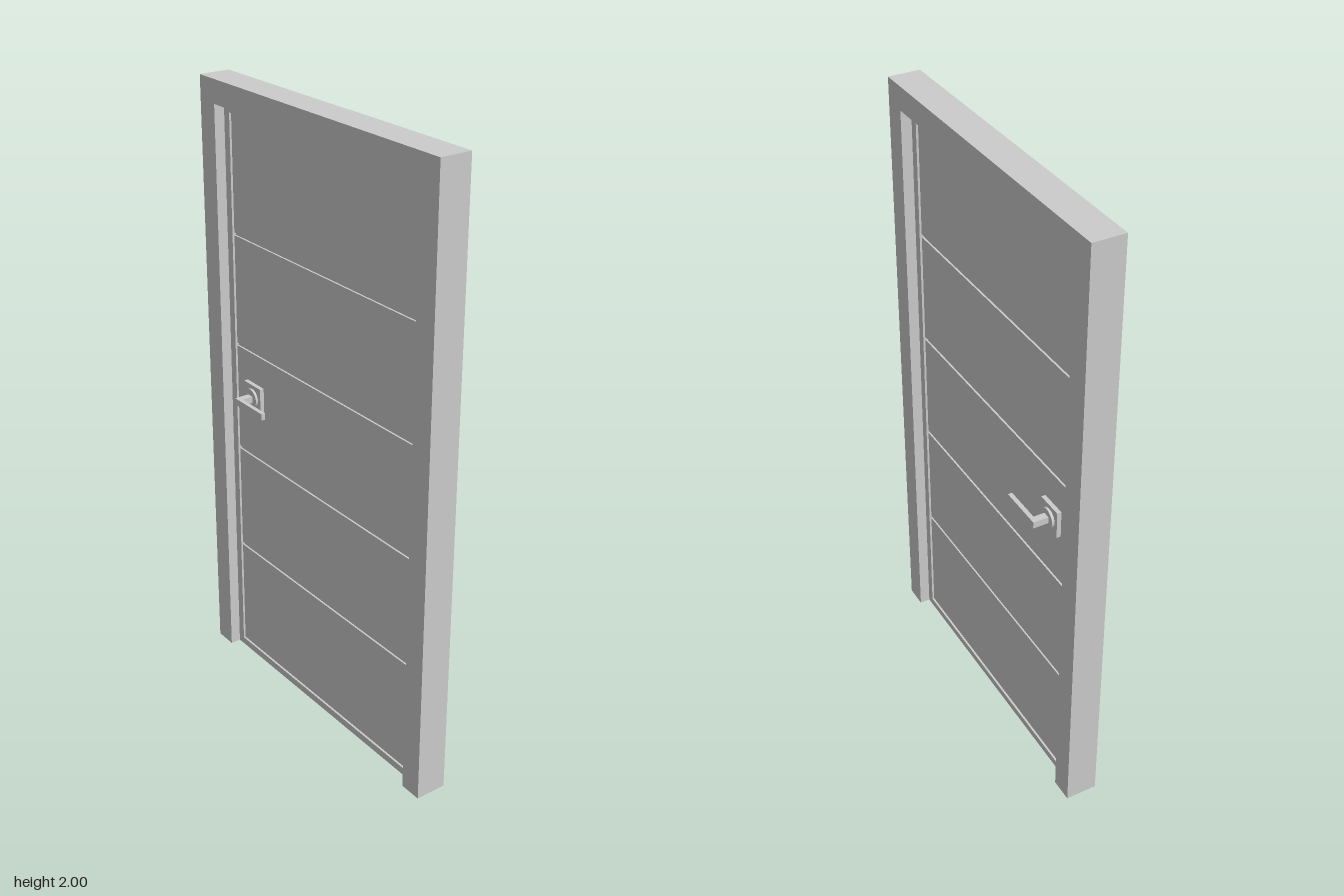
import * as THREE from 'three';

const mat = new THREE.MeshStandardMaterial({ color: 0xcccccc, flatShading: true });
const smooth = new THREE.MeshStandardMaterial({ color: 0xcccccc });

function add(parent, name, geometry, x = 0, y = 0, z = 0, material = mat) {
  const mesh = new THREE.Mesh(geometry, material);
  mesh.name = name;
  mesh.position.set(x, y, z);
  parent.add(mesh);
  return mesh;
}

// Closed polygon from corner points
const polygon = (pts) => new THREE.Shape(pts.map(([x, y]) => new THREE.Vector2(x, y)));

// Plate of a given depth, centred on its own thickness
function plate(shape, depth) {
  const g = new THREE.ExtrudeGeometry(shape, { depth, bevelEnabled: false });
  return g.translate(0, 0, -depth / 2);
}

// Square backplate, round rose and L-shaped lever, facing +z
function handle(leafZ) {
  const g = new THREE.Group();
  add(g, 'backplate', new THREE.BoxGeometry(0.09, 0.09, 0.014), 0, 0, leafZ + 0.007);
  const rose = new THREE.CylinderGeometry(0.032, 0.032, 0.01, 32).rotateX(Math.PI / 2);
  add(g, 'rose', rose, 0, 0, leafZ + 0.017, smooth);
  const z0 = leafZ + 0.012, z1 = 0.068, z2 = 0.082;
  const lever = polygon([[-0.011, -z0], [-0.011, -z2], [0.137, -z2],
    [0.137, -z1], [0.012, -z1], [0.012, -z0]]);
  const geo = plate(lever, 0.022).rotateX(-Math.PI / 2).rotateX(Math.PI);
  // Turn the extruded profile so that it lies flat and points outward
  geo.scale(1, 1, 1);
  geo.computeBoundingBox();
  if (geo.boundingBox.max.z < 0) geo.rotateX(Math.PI);
  add(g, 'lever', geo);
  return g;
}

export function createModel() {
  const model = new THREE.Group();
  model.name = 'door';

  // Frame: two jambs and a head, open at the threshold
  const W = 0.555, w = 0.48, top = 1.925;
  const outline = polygon([[-W, 0], [-w, 0], [-w, top], [w, top], [w, 0], [W, 0], [W, 2], [-W, 2]]);
  add(model, 'doorFrame', plate(outline, 0.103));

  // Leaf: rim around a thin core
  const leaf = new THREE.Group();
  leaf.name = 'doorLeaf';
  model.add(leaf);
  const pw = 0.453, y0 = 0.025, y1 = 1.9;
  const rim = polygon([[-w, 0], [w, 0], [w, top], [-w, top]]);
  rim.holes.push(new THREE.Path([[-pw, y0], [-pw, y1], [pw, y1], [pw, y0]]
    .map(([x, y]) => new THREE.Vector2(x, y))));
  add(leaf, 'leafRim', plate(rim, 0.034));
  add(leaf, 'leafCore', new THREE.BoxGeometry(2 * pw, y1 - y0, 0.008), 0, (y0 + y1) / 2, 0);

  // Five horizontal panels separated by grooves
  const panelZ = 0.01, gap = 0.01;
  const cuts = [y0 - gap / 2, 0.41, 0.78, 1.15, 1.52, y1 + gap / 2];
  for (let i = 0; i < 5; i++) {
    const lo = cuts[i] + gap / 2, hi = cuts[i + 1] - gap / 2;
    add(leaf, 'panel' + (i + 1), new THREE.BoxGeometry(2 * pw, hi - lo, 2 * panelZ), 0, (lo + hi) / 2, 0);
  }

  // Lever handles, one on each face, both pointing to +x
  const front = handle(panelZ);
  front.name = 'frontHandle';
  front.position.set(-0.352, 1, 0);
  const back = handle(panelZ);
  back.name = 'backHandle';
  back.position.set(-0.352, 1, 0);
  back.rotation.x = Math.PI;
  model.add(front, back);

  return model;
}
